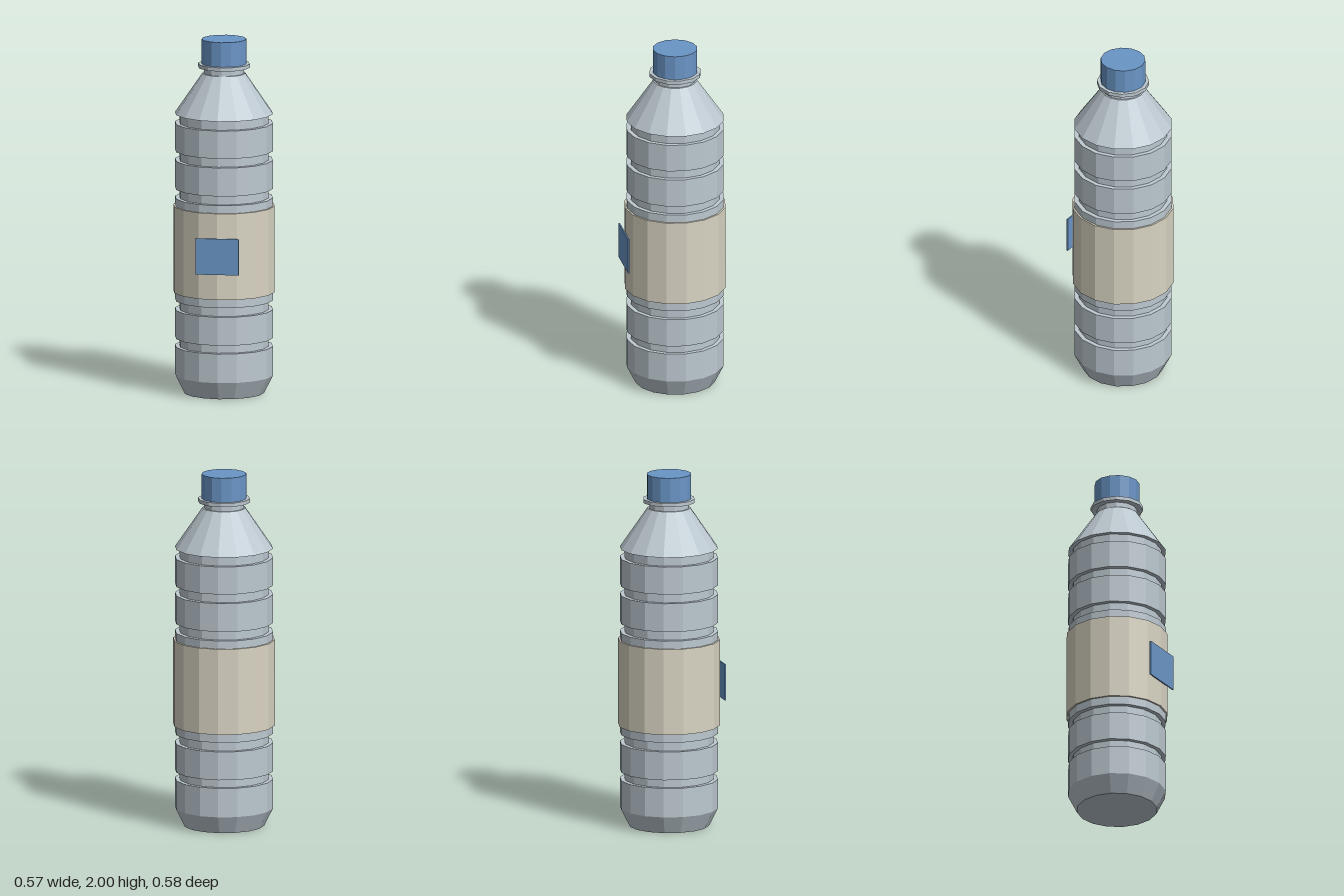
import * as THREE from 'three';

export function createModel() {
  const root = new THREE.Group();
  root.name = 'bottle';
  const paint = (name, color) => new THREE.MeshStandardMaterial({ name, color, flatShading: true });
  const plastic = paint('pale blue-grey plastic', 0xbdc9d1);
  const paper = paint('cream label', 0xd9d4c3);
  const blue = paint('blue', 0x6a95c6);

  const Z = -0.005; // bottle axis, offset so the badge stays within bounds
  const add = (name, geometry, material, y = 0, z = Z) => {
    const mesh = new THREE.Mesh(geometry, material);
    mesh.name = name;
    mesh.position.set(0, y, z);
    root.add(mesh);
  };
  // Upright cylinder between two heights
  const drum = (name, radius, y0, y1, sides, material) =>
    add(name, new THREE.CylinderGeometry(radius, radius, y1 - y0, sides), material, (y0 + y1) / 2);

  // Body: chamfered base, square-cut grooves and conical shoulder
  const R = 0.275, GROOVE = 0.25;
  const profile = [[0, 0], [0.225, 0], [R, 0.1]];
  const grooves = [[0.265, 0.312], [0.473, 0.525], [1.105, 1.157], [1.318, 1.37], [1.527, 1.58]];
  for (const [y0, y1] of grooves) profile.push([R, y0], [GROOVE, y0], [GROOVE, y1], [R, y1]);
  profile.push([0.12, 1.807], [0, 1.807]);
  add('body', new THREE.LatheGeometry(profile.map(([x, y]) => new THREE.Vector2(x, y)), 16), plastic);

  // Neck, collar and cap
  drum('neck', 0.112, 1.8, 1.85, 12, plastic);
  drum('neckCollar', 0.146, 1.84, 1.861, 12, plastic);
  drum('cap', 0.125, 1.861, 2, 14, blue);

  // Wrapped label with a plain rectangular badge on the front
  drum('label', 0.285, 0.572, 1.06, 16, paper);
  add('labelBadge', new THREE.BoxGeometry(0.244, 0.204, 0.008), blue, 0.818, 0.286);

  return root;
}
